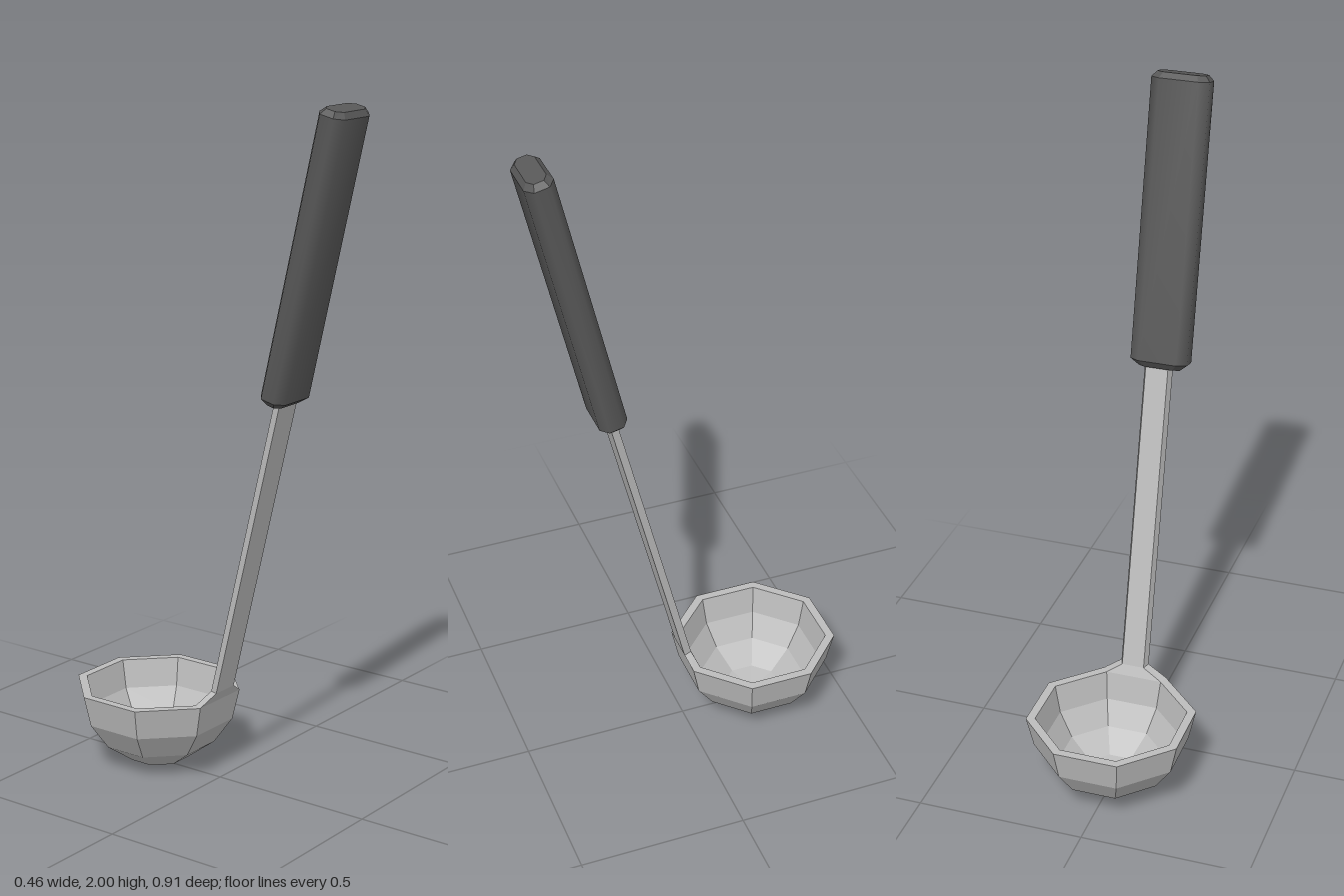
import * as THREE from 'three';
import { toCreasedNormals } from 'three/addons/utils/BufferGeometryUtils.js';

// Skin a stack of cross-sections (each counter-clockwise from above, listed upwards).
function loft(sections, capBottom, capTop, crease = 0.01) {
  const pos = [];
  const tri = (a, b, c) => pos.push(...a, ...b, ...c);
  const n = sections[0].length;
  for (let s = 0; s < sections.length - 1; s++) {
    const lo = sections[s], hi = sections[s + 1];
    for (let i = 0; i < n; i++) {
      const j = (i + 1) % n;
      tri(lo[i], lo[j], hi[j]);
      tri(lo[i], hi[j], hi[i]);
    }
  }
  const first = sections[0], last = sections[sections.length - 1];
  for (let i = 1; i < n - 1; i++) {
    if (capBottom) tri(first[0], first[i + 1], first[i]);
    if (capTop) tri(last[0], last[i], last[i + 1]);
  }
  const g = new THREE.BufferGeometry();
  g.setAttribute('position', new THREE.Float32BufferAttribute(pos, 3));
  return toCreasedNormals(g, crease);
}

// Bar section: wide front edge, narrower back edge.
const barSection = (y, z) => [
  [-0.035, y, z + 0.012], [0.05, y, z + 0.012],
  [0.04, y, z - 0.012], [-0.027, y, z - 0.012],
];

// Rectangle with chamfered corners.
function gripSection(y, w, d, cx, cz) {
  return [
    [-w + cx, y, d], [w - cx, y, d], [w, y, d - cz], [w, y, -d + cz],
    [w - cx, y, -d], [-w + cx, y, -d], [-w, y, -d + cz], [-w, y, d - cz],
  ];
}

export function createModel() {
  const steel = new THREE.MeshStandardMaterial({ color: 0xbcbcbc });
  steel.name = 'steel';
  const black = new THREE.MeshStandardMaterial({ color: 0x585858 });
  black.name = 'darkGrip';

  const model = new THREE.Group();
  model.name = 'ladle';
  const add = (parent, name, geometry, material) => {
    const mesh = new THREE.Mesh(geometry, material);
    mesh.name = name;
    parent.add(mesh);
    return mesh;
  };

  // Eight-sided bowl: outside up to the rim, then down the inside.
  const profile = [
    [0, 0.005], [0.083, 0.021], [0.158, 0.078], [0.21, 0.157], [0.23, 0.25],
    [0.205, 0.25], [0.188, 0.165], [0.146, 0.096], [0.08, 0.043], [0, 0.028],
  ].map(([apothem, y]) => new THREE.Vector2(apothem / Math.cos(Math.PI / 8), y));
  const bowl = toCreasedNormals(new THREE.LatheGeometry(profile, 8, Math.PI / 8), 0.01);
  add(model, 'bowl', bowl, steel).position.z = -0.23;

  // Flared neck from the rim, then the leaning bar.
  const neckBase = [[-0.097, 0.25, 0], [0.097, 0.25, 0], [0.085, 0.25, -0.025], [-0.085, 0.25, -0.025]];
  add(model, 'neck', loft([neckBase, barSection(0.28, 0)], false, false), steel);
  add(model, 'shaft', loft([barSection(0.28, 0), barSection(1.19, 0.222)], false, true), steel);

  // Grip with tapered ends, tilted backwards along the bar.
  const grip = new THREE.Group();
  grip.name = 'grip';
  grip.position.set(0, 1.172, 0.219);
  grip.rotation.x = 0.229;
  model.add(grip);
  const length = 0.845;
  const low = gripSection(0.02, 0.085, 0.0415, 0.028, 0.02);
  const high = gripSection(length - 0.016, 0.085, 0.0415, 0.028, 0.02);
  add(grip, 'gripBody', loft([low, high], false, false, 1.0), black);
  add(grip, 'gripLowerEnd', loft([gripSection(0, 0.062, 0.022, 0.02, 0.012), low], true, false), black);
  add(grip, 'gripUpperEnd', loft([high, gripSection(length, 0.071, 0.028, 0.022, 0.014)], false, true), black);

  return model;
}
